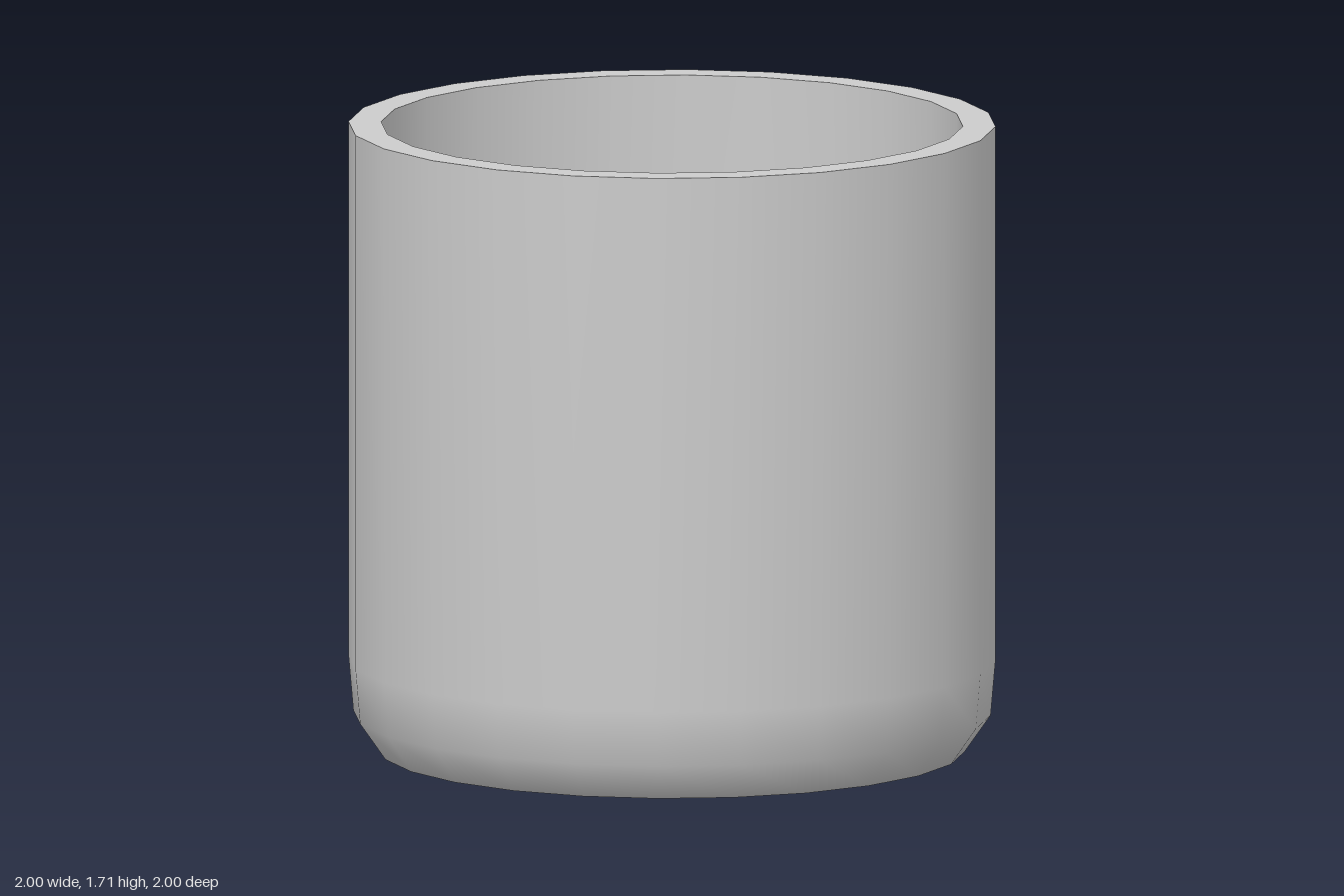
import * as THREE from 'three';
import { toCreasedNormals } from 'three/addons/utils/BufferGeometryUtils.js';

const SIDES = 24;
const HEIGHT = 1.71;

export function createModel() {
  const material = new THREE.MeshStandardMaterial({ color: 0xcccccc });
  const mug = new THREE.Group();
  mug.name = 'mug';
  mug.position.set(0.125, 0, 0.11);

  const add = (name, geometry) => {
    const mesh = new THREE.Mesh(geometry, material);
    mesh.name = name;
    mug.add(mesh);
    return mesh;
  };
  // Smooth within each profile, sharp edges between profiles
  const turned = (name, profile) =>
    add(name, new THREE.LatheGeometry(profile.map(([r, y]) => new THREE.Vector2(r, y)), SIDES));

  // Recessed underside, foot and outer wall, rim, inside
  turned('underside', [[0, 0.06], [0.69, 0.06]]);
  turned('footInner', [[0.69, 0.06], [0.69, 0]]);
  turned('outerWall', [[0.69, 0], [0.79, 0], [0.86, 0.1], [0.873, 0.25], [0.873, HEIGHT]]);
  turned('rim', [[0.873, HEIGHT], [0.785, HEIGHT]]);
  turned('innerWall', [[0.785, HEIGHT], [0.785, 0.3], [0.765, 0.19], [0.7, 0.13], [0, 0.13]]);

  // Handle: flattened octagon swept along a D-shaped path, wider at the roots
  const path = [
    [0.82, 1.43], [1.1, 1.45], [1.26, 1.38], [1.37, 1.25], [1.4, 1.1],
    [1.38, 0.88], [1.31, 0.68], [1.2, 0.51], [1.08, 0.44], [0.82, 0.43],
  ].map(([x, y]) => new THREE.Vector2(x, y));
  const around = 8;
  const positions = [];
  const index = [];
  path.forEach((p, i) => {
    const before = path[Math.max(i - 1, 0)];
    const after = path[Math.min(i + 1, path.length - 1)];
    const along = after.clone().sub(before).normalize();
    const outward = new THREE.Vector2(-along.y, along.x);
    const halfWidth = 0.155 + 0.025 * THREE.MathUtils.clamp((1.3 - p.x) / 0.4, 0, 1);
    for (let j = 0; j < around; j++) {
      const a = (j / around) * Math.PI * 2;
      const q = p.clone().addScaledVector(outward, 0.118 * Math.cos(a));
      positions.push(q.x, q.y, halfWidth * Math.sin(a));
      if (i < path.length - 1) {
        const k = (j + 1) % around;
        const [b, c, d, e] = [i * around + j, i * around + k, (i + 1) * around + j, (i + 1) * around + k];
        index.push(b, c, d, c, e, d);
      }
    }
  });
  const handleGeometry = new THREE.BufferGeometry();
  handleGeometry.setAttribute('position', new THREE.Float32BufferAttribute(positions, 3));
  handleGeometry.setIndex(index);
  const handle = add('handle', toCreasedNormals(handleGeometry, 0.6));
  handle.rotation.y = Math.PI * 0.75; // points to the back right

  const model = new THREE.Group();
  model.add(mug);
  return model;
}
